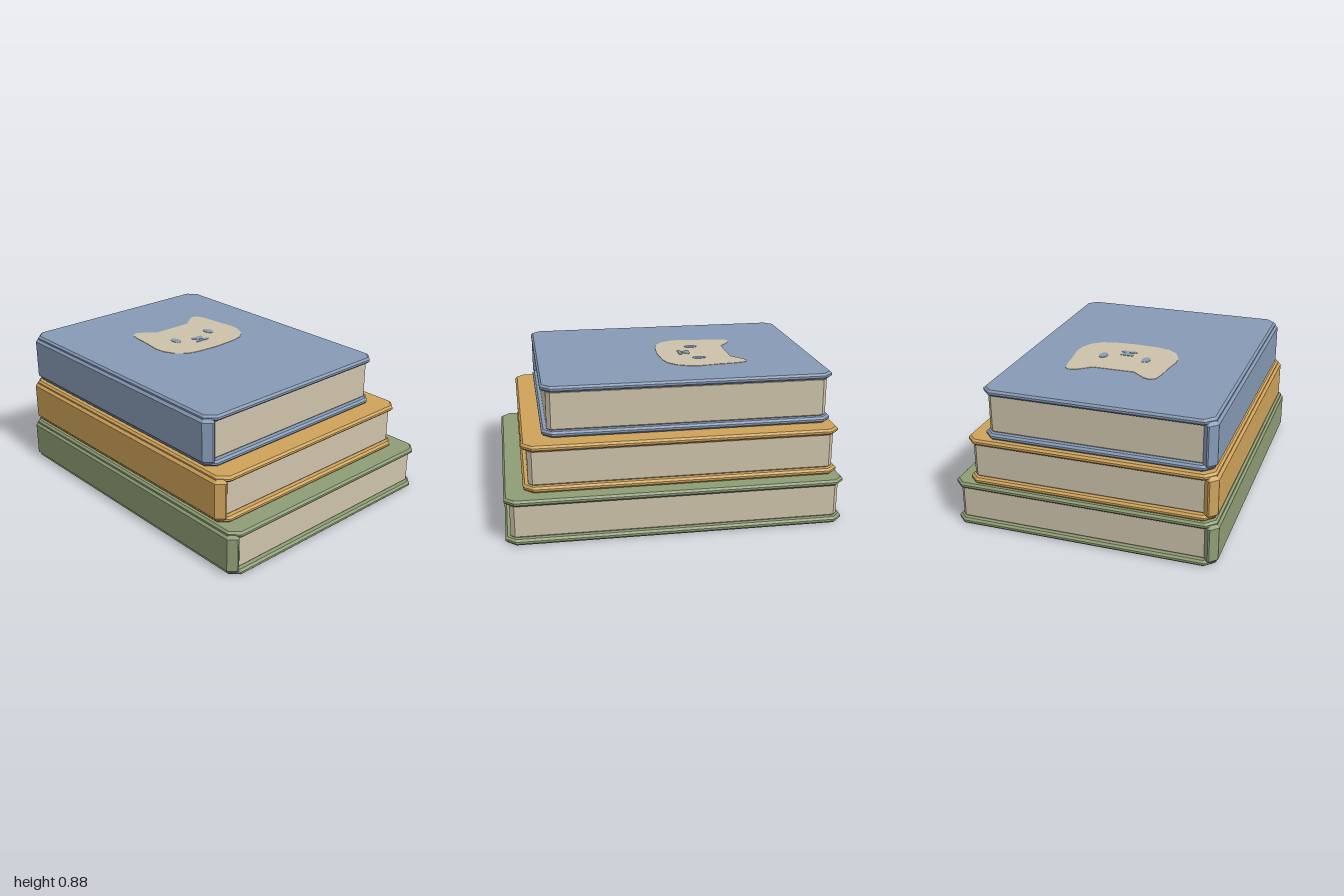
import * as THREE from 'three';

const mat = (name, color) => new THREE.MeshStandardMaterial({ name, color });

// Block with cut vertical corners and bevelled top and bottom rims
function chamferBlock(x0, x1, y0, y1, z0, z1, corner, bevel) {
  const cx = (x0 + x1) / 2, cz = (z0 + z1) / 2;
  const pos = [], idx = [];
  const levels = [[y0, bevel], [y0 + bevel, 0], [y1 - bevel, 0], [y1, bevel]];
  for (const [y, inset] of levels) {
    const a = (x1 - x0) / 2 - inset, b = (z1 - z0) / 2 - inset;
    const c = Math.min(corner - inset * 0.5, a * 0.9);
    // counter-clockwise seen from above
    for (const [x, z] of [[a, b - c], [a, c - b], [a - c, -b], [c - a, -b],
      [-a, c - b], [-a, b - c], [c - a, b], [a - c, b]]) pos.push(cx + x, y, cz + z);
  }
  for (let r = 0; r < 3; r++) {
    for (let i = 0; i < 8; i++) {
      const p = r * 8 + i, q = r * 8 + (i + 1) % 8;
      idx.push(p, q, q + 8, p, q + 8, p + 8);
    }
  }
  for (let i = 1; i < 7; i++) idx.push(24, 24 + i, 25 + i, 0, i + 1, i);
  const g = new THREE.BufferGeometry();
  g.setAttribute('position', new THREE.Float32BufferAttribute(pos, 3));
  g.setIndex(idx);
  const flat = g.toNonIndexed();
  flat.computeVertexNormals();
  return flat;
}

function addMesh(parent, name, geometry, material) {
  const m = new THREE.Mesh(geometry, material);
  m.name = name;
  parent.add(m);
  return m;
}

// Thin plate lying flat; shape y points to -z
function addPlate(parent, name, shape, material, y, depth) {
  const g = new THREE.ExtrudeGeometry(shape, { depth, bevelEnabled: false, curveSegments: 10 });
  g.rotateX(-Math.PI / 2);
  addMesh(parent, name, g, material).position.y = y;
}

function ellipse(x, y, rx, ry) {
  const s = new THREE.Shape();
  s.absellipse(x, y, rx, ry, 0, Math.PI * 2);
  return s;
}

export function createModel() {
  const model = new THREE.Group();
  model.name = 'bookStack';
  const cream = mat('cream paper', 0xcdc2aa);
  const green = mat('sage green', 0x8e9d75);
  const ochre = mat('ochre', 0xcea35a);
  const blue = mat('dusty blue', 0x869ab5);

  // x: cover extent, z: cover extent, y: bottom and top, spine: outer and inner x
  const books = [
    { name: 'bottomBook', m: green, x: [-0.787, 0.797], z: [-1, 1], y: [0, 0.274], spine: [-0.8, -0.706], page: 0.767 },
    { name: 'middleBook', m: ochre, x: [-0.772, 0.706], z: [-0.985, 0.887], y: [0.276, 0.561], spine: [-0.787, -0.694], page: 0.676 },
    { name: 'topBook', m: blue, x: [-0.755, 0.6], z: [-0.965, 0.766], y: [0.567, 0.873], spine: [-0.769, -0.674], page: 0.571 },
  ];
  for (const { name, m, x, z, y, spine, page } of books) {
    const book = new THREE.Group();
    book.name = name;
    model.add(book);
    const t = 0.036;
    addMesh(book, 'bottomCover', chamferBlock(...x, y[0], y[0] + t, ...z, 0.055, 0.012), m);
    addMesh(book, 'topCover', chamferBlock(...x, y[1] - t, y[1], ...z, 0.055, 0.012), m);
    addMesh(book, 'spine', chamferBlock(...spine, y[0] + 0.008, y[1] - 0.008,
      z[0] + 0.005, z[1] - 0.005, 0.043, 0.028), m);
    addMesh(book, 'pages', chamferBlock(spine[0] + 0.04, page, y[0] + t - 0.004, y[1] - t + 0.004,
      z[0] + 0.03, z[1] - 0.03, 0.025, 0.012), cream);
  }

  // Cat face on the top cover, mirrored half outline
  const cx = -0.013, top = 0.8725;
  const half = [[0.15, 0.012], [0.22, 0.03], [0.28, 0.08], [0.313, 0.155], [0.319, 0.22],
    [0.302, 0.335], [0.293, 0.44], [0.28, 0.5], [0.262, 0.52], [0.238, 0.524], [0.205, 0.51], [0.128, 0.447]];
  const outline = [[0, 0.002], ...half, ...half.slice().reverse().map(([x, y]) => [-x, y])];
  const face = new THREE.Shape(outline.map(([x, y]) => new THREE.Vector2(cx + x, y)));
  const emblem = new THREE.Group();
  emblem.name = 'catFace';
  model.add(emblem);
  addPlate(emblem, 'head', face, cream, top, 0.003);
  const fy = top + 0.002, fd = 0.0035;
  for (const s of [-1, 1]) {
    addPlate(emblem, s < 0 ? 'rightEye' : 'leftEye', ellipse(cx + s * 0.136, 0.246, 0.026, 0.042), blue, fy, fd);
    addPlate(emblem, 'mouthHalf', ellipse(cx + s * 0.024, 0.148, 0.027, 0.014), blue, fy, fd);
  }
  const nose = new THREE.Shape([[-0.016, 0.165], [0.016, 0.165], [0.042, 0.195], [0.038, 0.21],
    [-0.038, 0.21], [-0.042, 0.195]].map(([x, y]) => new THREE.Vector2(cx + x, y)));
  addPlate(emblem, 'nose', nose, blue, fy, fd);
  return model;
}
